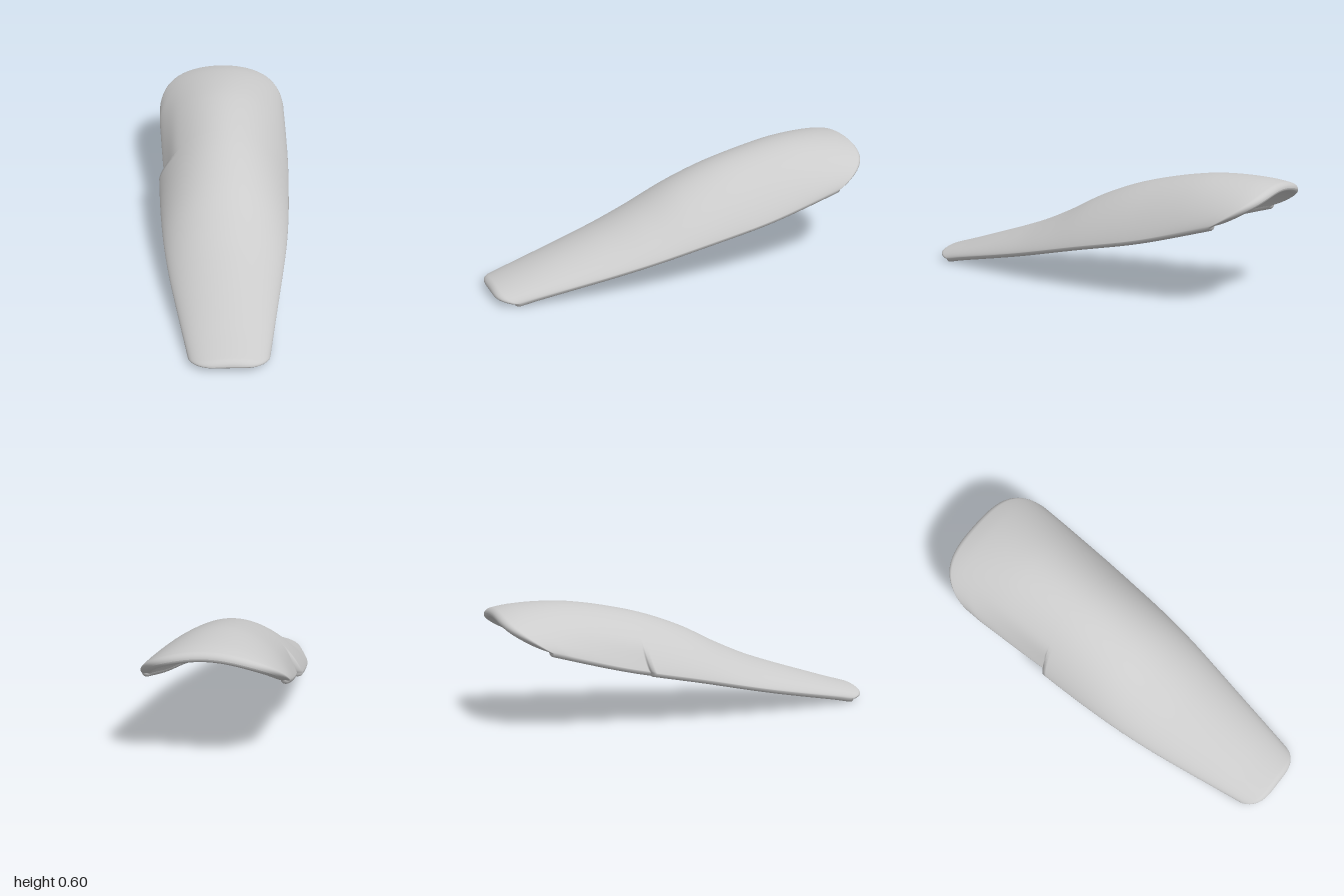
import * as THREE from 'three';

// Profiles along the length as [z, value], front to back
const EDGE = [[1, 0], [0.93, 0], [0.8, 0.028], [0.4, 0.11], [0, 0.2], [-0.4, 0.285], [-0.8, 0.395], [-1, 0.45]];
const CREST = [[1, 0.07], [0.95, 0.085], [0.8, 0.13], [0.4, 0.26], [0.2, 0.345], [0, 0.445], [-0.2, 0.52], [-0.4, 0.57],
  [-0.6, 0.603], [-0.75, 0.61], [-0.9, 0.602], [-1, 0.583]];
const LEFT = [[0.93, 0.18], [0.8, 0.203], [0.6, 0.238], [0.4, 0.273], [0.2, 0.305], [0, 0.326], [-0.2, 0.338], [-0.4, 0.346], [-0.6, 0.346], [-0.8, 0.343]];
const RIGHT = [[0.93, 0.2], [0.8, 0.225], [0.6, 0.262], [0.4, 0.297], [0.2, 0.324], [0, 0.341], [-0.2, 0.35], [-0.4, 0.354], [-0.8, 0.352]];
const RIM = 0.045;
const NOTCH_T = 0.657;

// Smooth cubic interpolation through a profile
function sample(p, z) {
  const n = p.length - 1;
  if (z >= p[0][0]) return p[0][1];
  if (z <= p[n][0]) return p[n][1];
  let i = 0;
  while (z < p[i + 1][0]) i++;
  const slope = (k) => {
    const a = p[Math.max(k - 1, 0)], b = p[Math.min(k + 1, n)];
    return (b[1] - a[1]) / (b[0] - a[0]);
  };
  const d = p[i + 1][0] - p[i][0], u = (z - p[i][0]) / d, u2 = u * u, u3 = u2 * u;
  return (2 * u3 - 3 * u2 + 1) * p[i][1] + (u3 - 2 * u2 + u) * d * slope(i)
    + (3 * u2 - 2 * u3) * p[i + 1][1] + (u3 - u2) * d * slope(i + 1);
}

// Length position; bow (0 at the crest, 1 at the sides) rounds the plan corners
const lengthZ = (t, bow) => 1 - 2 * t + bow * (0.2 * t ** 4 - 0.08 * (1 - t) ** 3);

// Point on the shell: t runs front to back, angle across the arch,
// f from the outer skin (0) to the inner skin (1), drop lowers the rim
function shellPoint(t, angle, f, drop) {
  const s = Math.sin(angle), c = Math.max(Math.cos(angle), 0);
  const z = lengthZ(t, 1 - c * Math.sqrt(1 + s * s));
  const sideZ = lengthZ(t, 1);
  let width = sample(s > 0 ? LEFT : RIGHT, sideZ);
  // Step in the right edge that fades towards the back and the crest
  if (s < 0 && t > NOTCH_T) {
    const fade = THREE.MathUtils.clamp((0.92 - t) / (0.92 - NOTCH_T), 0, 1);
    width -= 0.028 * fade * THREE.MathUtils.smoothstep(-s, 0.7, 1);
  }
  const base = sample(EDGE, sideZ) + 0.02;
  const rise = sample(CREST, z) - base;
  // The arch is fuller at the back; the wall is thicker mid-length
  const power = 1.6 - 0.5 * THREE.MathUtils.smoothstep(t, 0.65, 1);
  const wall = RIM + 0.015 * Math.sin(Math.PI * t);
  const outer = rise * c ** power, inner = (rise - wall) * c ** (power + 0.2);
  return [s * (width - RIM * f), base + THREE.MathUtils.lerp(outer, inner, f) - drop, z];
}

// Cross-section loop: outer arch, rounded rim, inner arch, rounded rim
function sectionLoop() {
  const loop = [], arc = 48, rim = 6, half = Math.PI / 2;
  for (const side of [1, -1]) {
    for (let i = 0; i <= arc; i++) loop.push([side * half * (2 * i / arc - 1), side > 0 ? 0 : 1, 0]);
    for (let i = 1; i < rim; i++) {
      const a = Math.PI * i / rim, f = (1 - Math.cos(a)) / 2;
      loop.push([side * half, side > 0 ? f : 1 - f, 0.02 * Math.sin(a)]);
    }
  }
  return loop;
}

// Stations [t, thickness factor], rounded at both ends, with a tight pair at the notch
function lengthStations() {
  const r = 0.014, steps = 6, ends = [], middle = [];
  for (let i = 0; i <= steps; i++) {
    const a = (Math.PI / 2) * i / steps;
    ends.push([r * (1 - Math.cos(a)), Math.sin(a)]);
  }
  for (let i = 1; i < 80; i++) middle.push([r + (1 - 2 * r) * i / 80, 1]);
  middle.push([NOTCH_T, 1], [NOTCH_T + 0.006, 1]);
  middle.sort((a, b) => a[0] - b[0]);
  return [...ends, ...middle, ...ends.map(([t, g]) => [1 - t, g]).reverse()];
}

function shellGeometry() {
  const loop = sectionLoop(), stations = lengthStations(), n = loop.length;
  const positions = [], index = [];
  stations.forEach(([t, g], i) => {
    loop.forEach(([angle, f, drop], j) => {
      positions.push(...shellPoint(t, angle, 0.5 + (f - 0.5) * g, drop * g));
      if (i === stations.length - 1) return;
      const a = i * n + j, b = i * n + (j + 1) % n;
      index.push(a, b, a + n, b, b + n, a + n);
    });
  });
  const geometry = new THREE.BufferGeometry();
  geometry.setAttribute('position', new THREE.Float32BufferAttribute(positions, 3));
  geometry.setIndex(index);
  geometry.computeVertexNormals();
  return geometry;
}

export function createModel() {
  const group = new THREE.Group();
  group.name = 'curvedGuard';
  const shell = new THREE.Mesh(shellGeometry(), new THREE.MeshStandardMaterial({ color: 0xcccccc }));
  shell.name = 'shell';
  group.add(shell);
  return group;
}
